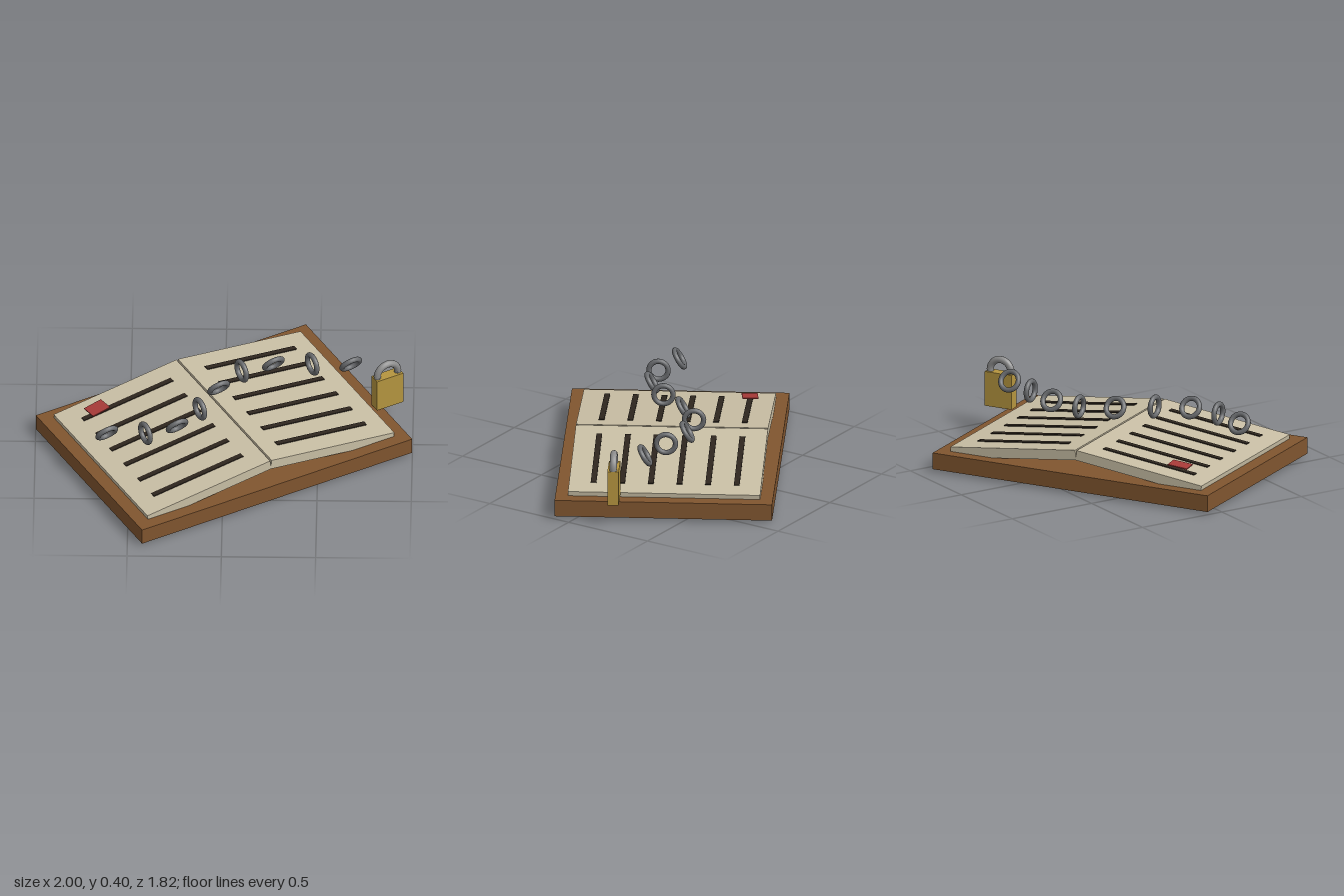
import * as THREE from 'three';

const mat = (color) => new THREE.MeshStandardMaterial({ color });

function add(parent, name, geometry, material, x = 0, y = 0, z = 0) {
  const mesh = new THREE.Mesh(geometry, material);
  mesh.name = name;
  mesh.position.set(x, y, z);
  parent.add(mesh);
  return mesh;
}

export function createModel() {
  const wood = mat(0x80552f), gold = mat(0xb5953f), paper = mat(0xc9bfa5);
  const ink = mat(0x2e261e), iron = mat(0x686a6d), steel = mat(0x8c8c8c), red = mat(0xa83a38);

  const model = new THREE.Group();
  const book = new THREE.Group();
  book.name = 'chainedBook';
  book.rotation.y = Math.PI / 6;
  model.add(book);

  // Cover board and the plate beneath it
  add(book, 'cover', new THREE.BoxGeometry(1.64, 0.09, 1.155), wood, 0, 0.06, 0);
  add(book, 'basePlate', new THREE.BoxGeometry(1.5, 0.03, 1.02), gold, 0, 0.015, 0);

  // Two page blocks sloping down from the raised gutter, each with six lines
  const pageGeo = new THREE.BoxGeometry(0.75, 0.055, 1.02);
  const lineGeo = new THREE.BoxGeometry(0.546, 0.008, 0.03);
  for (const side of [-1, 1]) {
    const half = new THREE.Group();
    half.name = side < 0 ? 'rightPages' : 'leftPages';
    half.position.y = 0.22;
    half.rotation.z = -side * 0.12;
    book.add(half);
    add(half, 'pageBlock', pageGeo, paper, side * 0.38, -0.0275, 0);
    for (let i = 0; i < 6; i++) {
      add(half, 'writtenLine', lineGeo, ink, side * 0.377, 0.001, -0.38 + i * 0.152);
    }
    // Small red tag hovering over the first line
    if (side < 0) {
      const tag = add(half, 'redTag', new THREE.BoxGeometry(0.11, 0.006, 0.085), red, -0.557, 0.032, -0.383);
      tag.rotation.y = 0.1;
    }
  }

  // Wavy chain of alternating rings across the book
  const ringGeo = new THREE.TorusGeometry(0.051, 0.014, 12, 28);
  for (let i = 0; i < 9; i++) {
    const ring = add(book, 'chainLink', ringGeo, iron, (i - 4) * 0.178, 0.33, 0.13 * Math.sin(i * 0.9));
    if (i % 2) ring.rotation.y = Math.PI / 2;
    else ring.rotation.x = 0.55;
  }

  // Padlock at the cover edge
  const lock = new THREE.Group();
  lock.name = 'padlock';
  lock.position.set(0.847, 0.22, 0.261);
  book.add(lock);
  add(lock, 'lockBody', new THREE.BoxGeometry(0.16, 0.19, 0.06), gold);
  add(lock, 'shackle', new THREE.TorusGeometry(0.062, 0.019, 12, 24, Math.PI), steel, 0, 0.102, 0);
  for (const side of [-1, 1]) {
    add(lock, 'shackleLeg', new THREE.CylinderGeometry(0.019, 0.019, 0.03, 12), steel, side * 0.062 * 0.98, 0.087, 0);
  }
  return model;
}
